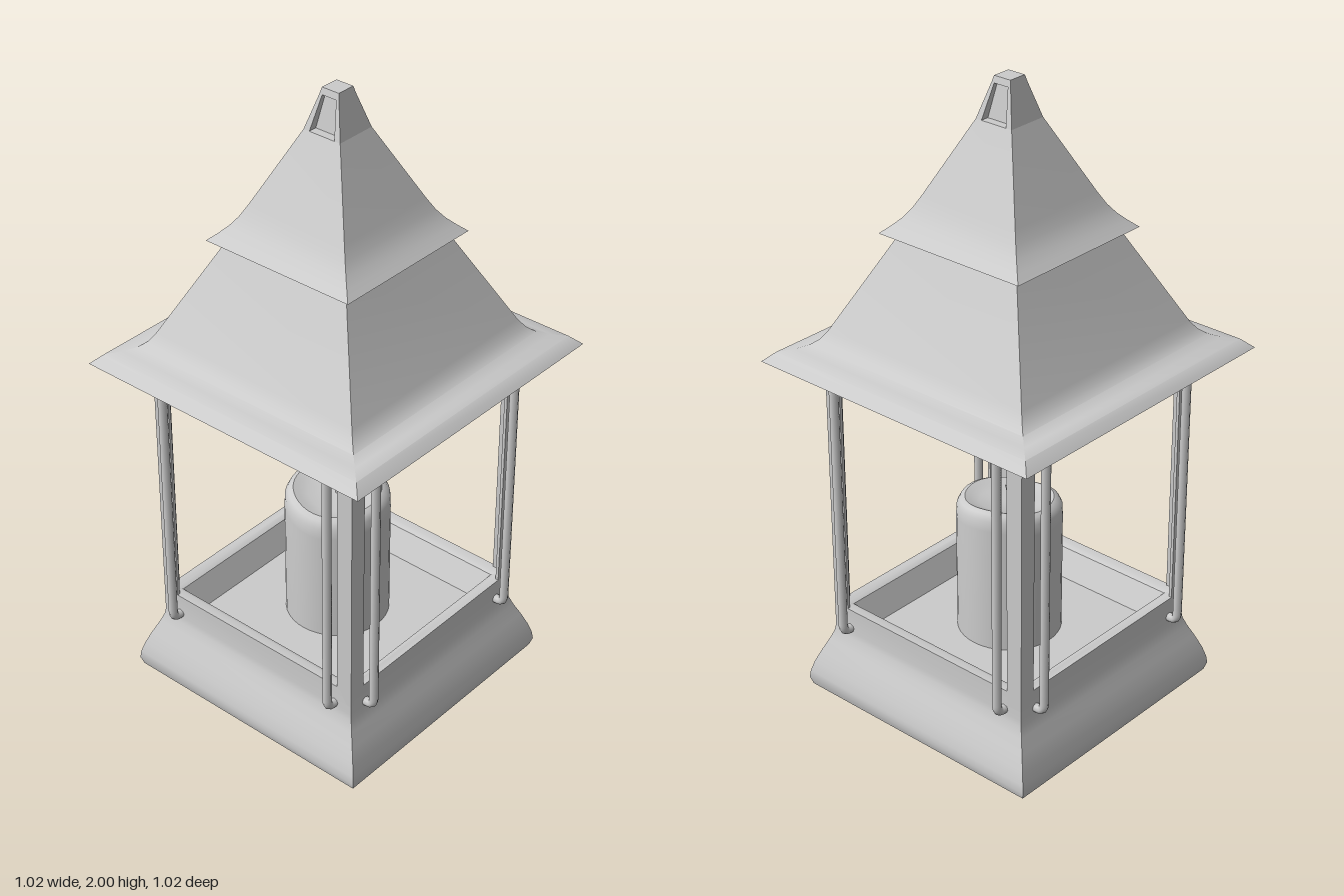
import * as THREE from 'three';
import { toCreasedNormals } from 'three/addons/utils/BufferGeometryUtils.js';

const material = new THREE.MeshStandardMaterial({ color: 0xcccccc });

function add(parent, name, geometry) {
  const mesh = new THREE.Mesh(geometry, material);
  mesh.name = name;
  parent.add(mesh);
  return mesh;
}

const points = (list) => list.map(([r, y]) => new THREE.Vector2(r, y));

// Square loft: profile of [half width, height], stretched in x and z if needed
function square(profile, crease = 0.6) {
  const list = profile.map(([h, y]) => [h * Math.SQRT2, y]);
  return toCreasedNormals(new THREE.LatheGeometry(points(list), 4, Math.PI / 4), crease);
}

// Box tapering from a bottom rectangle to a top one; each is [y, x half, z min, z max]
function taper(bottom, top) {
  const geometry = new THREE.BoxGeometry(2, 1, 1);
  const p = geometry.attributes.position;
  for (let i = 0; i < p.count; i++) {
    const [y, x, z0, z1] = p.getY(i) < 0 ? bottom : top;
    p.setXYZ(i, p.getX(i) * x, y, p.getZ(i) < 0 ? z0 : z1);
  }
  geometry.computeVertexNormals();
  return geometry;
}

export function createModel() {
  const model = new THREE.Group();
  model.name = 'candleLantern';

  // Flared base with a sunken tray
  add(model, 'base', square([
    [0, 0], [0.435, 0], [0.443, 0.025], [0.44, 0.05], [0.43, 0.085], [0.412, 0.13],
    [0.394, 0.17], [0.383, 0.2], [0.38, 0.22], [0.38, 0.3],
    [0.355, 0.3], [0.34, 0.292], [0.3, 0.21], [0, 0.21],
  ]));

  // Lower roof with eave, header band and hollow inside
  add(model, 'lowerRoof', square([
    [0, 1.86], [0.03, 1.8], [0.29, 1.06], [0.38, 1.06], [0.38, 1.14], [0.51, 1.14],
    [0.478, 1.17], [0.44, 1.178], [0.41, 1.19], [0.388, 1.208], [0.37, 1.235],
    [0.215, 1.545], [0, 1.545],
  ]));

  // Upper roof tier
  add(model, 'upperRoof', square([
    [0.2, 1.536], [0.262, 1.536], [0.238, 1.558], [0.215, 1.582], [0.195, 1.61],
    [0.175, 1.648], [0.066, 1.875], [0, 1.875],
  ]));

  // Finial: front and back plates, recessed core and cap
  const finial = new THREE.Group();
  finial.name = 'finial';
  model.add(finial);
  add(finial, 'frontPlate', taper([1.875, 0.066, 0.045, 0.066], [1.98, 0.035, 0.025, 0.035]));
  add(finial, 'backPlate', taper([1.875, 0.066, -0.066, -0.045], [1.98, 0.035, -0.035, -0.025]));
  add(finial, 'core', taper([1.87, 0.04, -0.05, 0.05], [1.985, 0.02, -0.03, 0.03]));
  add(finial, 'cap', taper([1.98, 0.035, -0.035, 0.035], [2, 0.03, -0.03, 0.03]));

  // Thin angled corner posts
  const strip = new THREE.BoxGeometry(0.055, 0.84, 0.01);
  for (const sx of [-1, 1]) for (const sz of [-1, 1]) {
    const post = new THREE.Group();
    post.name = 'cornerPost';
    model.add(post);
    add(post, 'postFace', strip).position.set(sx * 0.3525, 0.67, sz * 0.375);
    const side = add(post, 'postSide', strip);
    side.position.set(sx * 0.375, 0.67, sz * 0.3525);
    side.rotation.y = Math.PI / 2;
  }

  // Bent guard rods, two on each side
  const path = new THREE.CurvePath();
  const v = (y, z) => new THREE.Vector3(0, y, z);
  path.add(new THREE.LineCurve3(v(0.235, 0.37), v(0.235, 0.39)));
  path.add(new THREE.QuadraticBezierCurve3(v(0.235, 0.39), v(0.235, 0.412), v(0.262, 0.412)));
  path.add(new THREE.LineCurve3(v(0.262, 0.412), v(1.078, 0.412)));
  path.add(new THREE.QuadraticBezierCurve3(v(1.078, 0.412), v(1.105, 0.412), v(1.105, 0.39)));
  path.add(new THREE.LineCurve3(v(1.105, 0.39), v(1.105, 0.37)));
  const rod = new THREE.TubeGeometry(path, 120, 0.014, 8);
  for (let i = 0; i < 4; i++) {
    const pair = new THREE.Group();
    pair.name = 'guardRods';
    pair.rotation.y = i * Math.PI / 2;
    model.add(pair);
    for (const x of [-0.315, 0.315]) add(pair, 'guardRod', rod).position.x = x;
  }

  // Candle with an uneven melted rim
  const candle = new THREE.LatheGeometry(points([
    [0, 0.2], [0.162, 0.2], [0.162, 0.6], [0.16, 0.635], [0.15, 0.655], [0.135, 0.662],
    [0.118, 0.655], [0.09, 0.645], [0, 0.64],
  ]), 40);
  const p = candle.attributes.position;
  for (let i = 0; i < p.count; i++) {
    const x = p.getX(i), y = p.getY(i), z = p.getZ(i);
    if (y < 0.59) continue;
    const a = Math.atan2(z, x);
    const r = Math.hypot(x, z) / 0.162;
    p.setY(i, y + r * (0.017 * Math.cos(a) - 0.008 * Math.sin(a) + 0.005 * Math.cos(3 * a + 1)));
  }
  add(model, 'candle', toCreasedNormals(candle, 0.8));

  // Wick
  const wickPath = new THREE.QuadraticBezierCurve3(
    new THREE.Vector3(0, 0.63, 0), new THREE.Vector3(0, 0.68, 0), new THREE.Vector3(0.005, 0.703, 0.005));
  add(model, 'wick', new THREE.TubeGeometry(wickPath, 6, 0.007, 6));

  return model;
}
